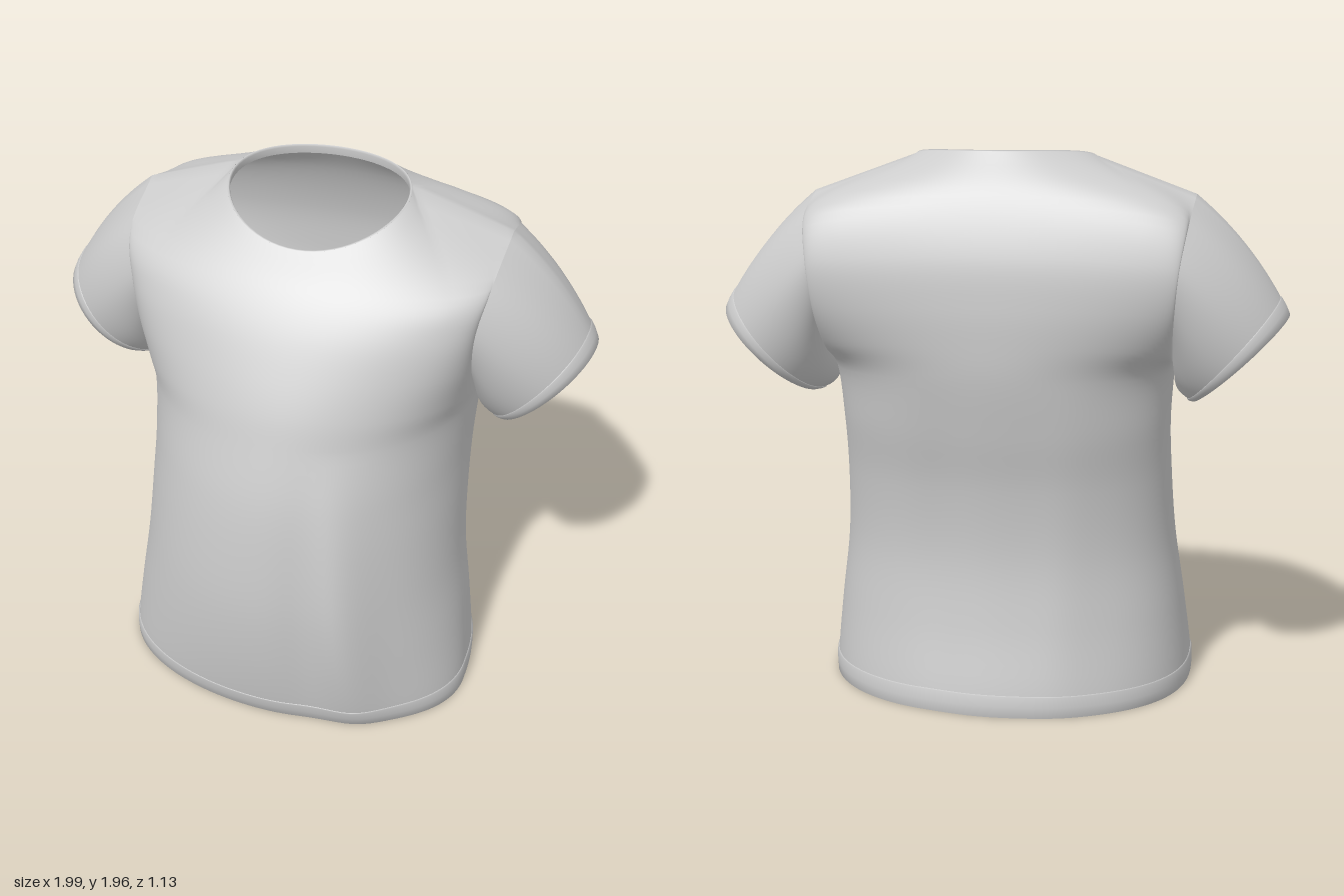
import * as THREE from 'three';
import { mergeGeometries, mergeVertices } from 'three/addons/utils/BufferGeometryUtils.js';

const V = (x, y, z) => new THREE.Vector3(x, y, z);
const { lerp } = THREE.MathUtils;
const cloth = new THREE.MeshStandardMaterial({ color: 0xcccccc, side: THREE.DoubleSide });

// surface from rows of points
function grid(rows) {
  const n = rows[0].length, index = [];
  for (let j = 0; j < rows.length - 1; j++)
    for (let i = 0; i < n - 1; i++) {
      const a = j * n + i;
      index.push(a, a + 1, a + n, a + 1, a + n + 1, a + n);
    }
  const g = new THREE.BufferGeometry();
  g.setAttribute('position', new THREE.Float32BufferAttribute(rows.flat().flatMap(p => p.toArray()), 3));
  g.setIndex(index);
  return g;
}

// shallow dome that closes a ring, sunk by the given vector
function dome(ring, centre, sink) {
  const rows = [];
  for (let j = 0; j <= 10; j++) {
    const r = j / 10;
    rows.push(ring.map(p => centre.clone().lerp(p, r).addScaledVector(sink, 1 - r ** 2.5)));
  }
  return grid(rows);
}

function part(name, ...geos) {
  const g = mergeVertices(mergeGeometries(geos), 1e-4);
  g.computeVertexNormals();
  const m = new THREE.Mesh(g, cloth);
  m.name = name;
  return m;
}

// hem to armpit: y, half width, front z, back z, side seam z
const LOWER = [
  [0, .675, .5, -.535, .09], [.075, .672, .52, -.527, .08], [.3, .645, .555, -.485, .04],
  [.55, .61, .57, -.46, 0], [.8, .594, .555, -.478, -.06], [1, .59, .525, -.518, -.12], [1.2, .603, .47, -.553, -.16]];
// armpit to shoulder: centre y, centre z, the armhole edge x, y, z, then the bow
const UPPER = {
  front: [[1.32, .432, .605, 1.28, -.06, .95], [1.45, .375, .612, 1.41, .05, 1.05],
    [1.59, .3, .625, 1.57, .09, 1.2], [1.7, .22, .655, 1.72, .02, 1.4]],
  back: [[1.32, -.562, .605, 1.28, -.36, .75], [1.45, -.563, .615, 1.42, -.49, .8],
    [1.62, -.545, .63, 1.58, -.52, .9], [1.82, -.472, .655, 1.73, -.44, 1]],
};
const TIP = V(.67, 1.815, -.22), SEAM = 1.83, NECK_SHARE = .6;
const ARMPIT = 6 / 11; // share of a column below the armpit

// neckline, angle 0 at the front and PI at the back
const neck = a => V(.325 * Math.sin(a), 1.96 - .16 * Math.pow((1 + Math.cos(a)) / 2, 2.3), -.125 + .245 * Math.cos(a));

// a row bowed from centre to edge; u runs -1..1 across the panel
function bow(u, yc, zc, xe, ye, ze, power) {
  const a = u * Math.PI / 2, c = Math.max(0, Math.cos(a));
  return V(xe * Math.sin(a), lerp(yc, ye, u * u), lerp(ze, zc, Math.pow(c, power)));
}

// neckline in the middle, shoulder seams outside
function topRow(u, side) {
  const s = Math.abs(u), start = side === 'front' ? 0 : Math.PI;
  const p = s < NECK_SHARE ? neck(lerp(start, SEAM, s / NECK_SHARE))
    : neck(SEAM).lerp(TIP, (s - NECK_SHARE) / (1 - NECK_SHARE));
  if (u < 0) p.x *= -1;
  return p;
}

// soft drape folds below the chest
function drape(p, side) {
  const w = Math.sin(Math.PI * THREE.MathUtils.clamp((p.y + .2) / 1.4, 0, 1));
  const fold = (x, width) => Math.exp(-(((p.x - x) / width) ** 2));
  if (side === 'front') p.z += w * (.04 * fold(.36 - .1 * p.y, .1) - .01 * fold(.16, .08));
  else p.z += w * (.012 * fold(.2, .1) - .01 * fold(-.25, .1));
  return p;
}

// curve from hem to shoulder at one place across a panel
function column(u, side) {
  const power = side === 'front' ? .94 : .75;
  return new THREE.CatmullRomCurve3([
    ...LOWER.map(([y, w, zf, zb, zs]) => bow(u, y, side === 'front' ? zf : zb, w, y, zs, power)),
    ...UPPER[side].map(r => bow(u, ...r)),
    topRow(u, side)]);
}

const NU = 60, NV = 66;
function panel(side) {
  const rows = Array.from({ length: NV + 1 }, () => []);
  for (let i = 0; i <= NU; i++) {
    const u = (i / NU * 2 - 1) * (side === 'front' ? 1 : -1);
    const curve = column(u, side);
    rows.forEach((row, j) => row.push(drape(curve.getPoint(j / NV), side)));
  }
  return rows;
}

// folded band round the bottom edge
function hemBand(rows) {
  return grid([[0, .985], [0, 1.004], [.5, 1.008], [1, 1.008], [1.04, .998]].map(([t, s]) =>
    rows[0].map((p, i) => {
      const q = p.clone().lerp(rows[6][i], t);
      return V(q.x * s, q.y, q.z * s);
    })));
}

// sleeve from the armhole edge to the slanted cuff
function sleeve(sign) {
  const front = column(1, 'front'), back = column(1, 'back');
  const centre = V(.833, 1.257, -.232), H = 30, N = 2 * H;
  const point = (i, t, swell = 0) => {
    const onFront = i <= H, k = onFront ? i / H : (N - i) / H;
    const phi = Math.PI * (1 - k), c = Math.cos(phi), s = Math.sin(phi) * (onFront ? 1 : -1);
    const cuff = V(.162 * c, .153 * c, .238 * s).multiplyScalar(1 + swell).add(centre);
    const p = (onFront ? front : back).getPoint(lerp(ARMPIT, 1, k)).lerp(cuff, t);
    const b = 4 * t * (1 - t);
    p.add(V(.73 * c, .68 * c, .4 * s).multiplyScalar(b * .028));
    p.x *= sign;
    return p;
  };
  const ring = (t, swell) => Array.from({ length: N + 1 }, (_, i) => point(sign > 0 ? N - i : i, t, swell));
  const group = new THREE.Group();
  group.name = sign > 0 ? 'leftSleeve' : 'rightSleeve';
  group.add(
    part('sleeveCloth', grid(Array.from({ length: 21 }, (_, j) => ring(j / 20)))),
    part('cuffBand', grid([ring(.87, -.005), ring(.88, .018), ring(.94, .022), ring(1, .01), ring(.99, -.05)])),
    part('sleeveLining', dome(ring(.97, -.02), V(.825 * sign, 1.265, -.232), V(-.13 * sign, .11, 0))));
  return group;
}

export function createModel() {
  const shirt = new THREE.Group();
  shirt.name = 'shirt';
  const front = panel('front'), back = panel('back');
  shirt.add(part('body', grid(front), grid(back)));
  shirt.add(part('hemBand', hemBand(front), hemBand(back)));

  // domed underside inside the hem
  shirt.add(part('hemLining', dome([...front[1], ...back[1]], V(0, front[1][0].y, 0), V(0, .25, 0))));
  shirt.add(sleeve(1), sleeve(-1));

  // narrow fold inside the neckline
  const fold = [[1, 0], [.985, .004], [.97, -.004], [.985, -.03]].map(([s, dy]) =>
    Array.from({ length: 65 }, (_, i) => {
      const p = neck(i / 64 * Math.PI * 2);
      return V(p.x * s, p.y + dy, (p.z + .125) * s - .125);
    }));
  shirt.add(part('neckFold', grid(fold)));
  return shirt;
}
